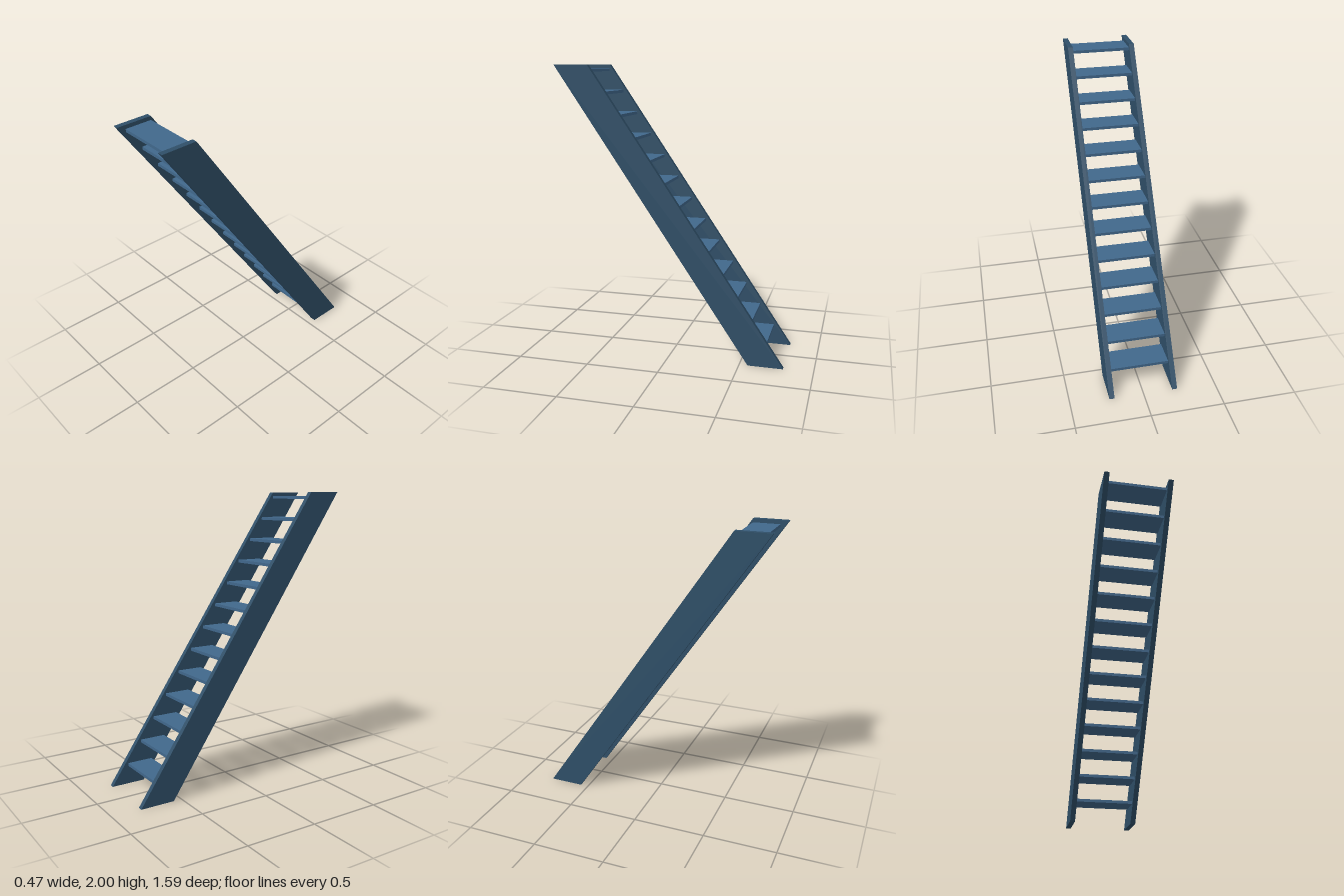
import * as THREE from 'three';

const stringerPaint = new THREE.MeshStandardMaterial({ name: 'dark slate blue', color: 0x2f4f68 });
const treadPaint = new THREE.MeshStandardMaterial({ name: 'steel blue', color: 0x41688c });

const INNER = 0.2;        // half the clear width between the stringers
const THICK = 0.035;      // stringer thickness
const TREADS = 13;

export function createModel() {
  const stairs = new THREE.Group();
  stairs.name = 'openStaircase';

  // Slanted side boards, cut level at floor and top; shape x is model z
  const profile = new THREE.Shape([
    new THREE.Vector2(-0.797, 0),
    new THREE.Vector2(-0.558, 0),
    new THREE.Vector2(0.797, 2),
    new THREE.Vector2(0.558, 2),
  ]);
  const board = new THREE.ExtrudeGeometry(profile, { depth: THICK, bevelEnabled: false });
  board.rotateY(-Math.PI / 2); // shape x -> +z, extrusion -> -x
  board.translate(THICK / 2, 0, 0);
  for (const [name, side] of [['leftStringer', 1], ['rightStringer', -1]]) {
    const stringer = new THREE.Mesh(board, stringerPaint);
    stringer.name = name;
    stringer.position.x = side * (INNER + THICK / 2);
    stairs.add(stringer);
  }

  // Evenly spaced treads with open risers
  const plank = new THREE.BoxGeometry(2 * INNER, 0.02, 0.18);
  for (let i = 0; i < TREADS; i++) {
    const tread = new THREE.Mesh(plank, treadPaint);
    tread.name = `tread${i + 1}`;
    tread.position.set(0, 0.138 + i * 0.1522, -0.585 + i * 0.1029);
    stairs.add(tread);
  }
  return stairs;
}
